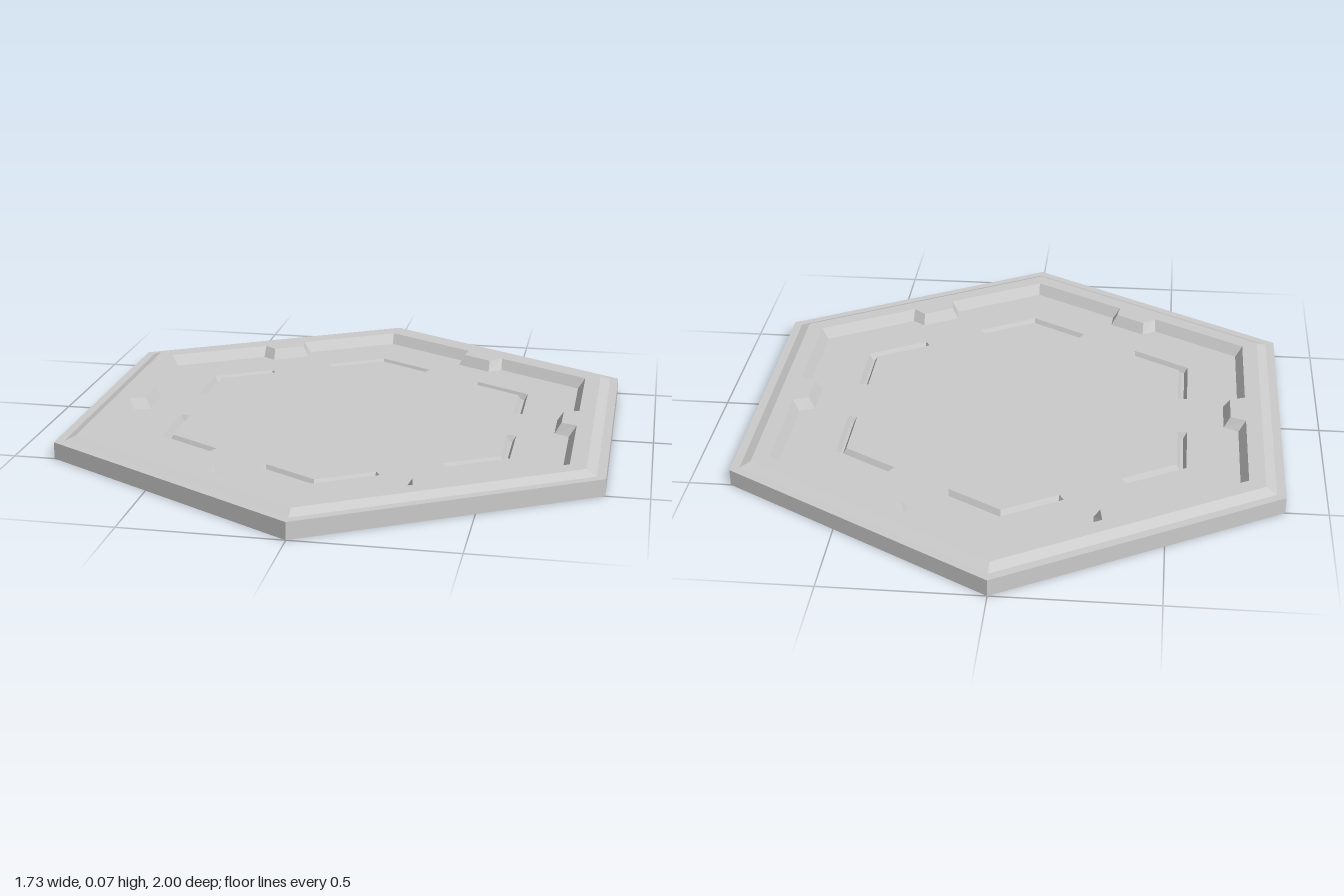
import * as THREE from 'three';

const material = new THREE.MeshStandardMaterial({ color: 0xcccccc, flatShading: true });
const SIXTH = Math.PI / 3;
const TOP = 0.07, RIM = 0.055, FLOOR = 0.035, GROOVE = 0.015;

// Plan points are (x, y) with y pointing to the back; all loops run counter-clockwise from above.
const turn = (points, k) => points.map(([x, y]) =>
  new THREE.Vector2(x, y).rotateAround(new THREE.Vector2(), k * SIXTH));

// Hexagon with corners at front and back, given by its centre-to-edge distance
const hexagon = (a) => [0, 1, 2, 3, 4, 5].flatMap((k) => turn([[a, -a / Math.sqrt(3)]], k));

// Hexagon with a tapered tab pushing inward at the middle of each edge
const tabbedHexagon = (a, tip, baseHalf, tipHalf) => [0, 1, 2, 3, 4, 5].flatMap((k) => turn([
  [a, -a / Math.sqrt(3)], [a, -baseHalf], [tip, -tipHalf], [tip, tipHalf], [a, baseHalf],
], k));

// Bent bar wrapped around one corner
const chevron = (inner, outer, end, k) => [
  ...turn([[inner, end], [outer, end], [outer, outer / Math.sqrt(3)]], k),
  ...turn([[outer, -end], [inner, -end]], k + 1),
  ...turn([[inner, inner / Math.sqrt(3)]], k),
];

// Flat-shaded skin through a series of [loop, height] sections
function skin(name, sections) {
  const positions = [];
  for (let s = 0; s < sections.length - 1; s++) {
    const [a, ya] = sections[s];
    const [b, yb] = sections[s + 1];
    a.forEach((p, i) => {
      const j = (i + 1) % a.length;
      const a0 = [p.x, ya, -p.y], a1 = [a[j].x, ya, -a[j].y];
      const b0 = [b[i].x, yb, -b[i].y], b1 = [b[j].x, yb, -b[j].y];
      positions.push(...a0, ...a1, ...b1, ...a0, ...b1, ...b0);
    });
  }
  const geometry = new THREE.BufferGeometry();
  geometry.setAttribute('position', new THREE.Float32BufferAttribute(positions, 3));
  geometry.computeVertexNormals();
  return named(name, geometry);
}

// Horizontal face with optional holes
function face(name, outline, y, holes = [], down = false) {
  const shape = new THREE.Shape(outline);
  shape.holes = holes.map((h) => new THREE.Path(h));
  const geometry = new THREE.ShapeGeometry(shape);
  geometry.rotateX(down ? Math.PI / 2 : -Math.PI / 2).translate(0, y, 0);
  return named(name, geometry);
}

function named(name, geometry) {
  const mesh = new THREE.Mesh(geometry, material);
  mesh.name = name;
  return mesh;
}

export function createModel() {
  const group = new THREE.Group();
  group.name = 'hexagonalTile';

  // Base, side walls, narrow ledge and chamfer
  const outer = hexagon(0.866);
  const crown = hexagon(0.805);
  group.add(face('underside', outer, 0, [], true));
  group.add(skin('outerRim', [[outer, 0], [outer, RIM], [hexagon(0.838), RIM], [crown, TOP]]));

  // Raised border and sloping recess wall with tabs
  const recessTop = tabbedHexagon(0.753, 0.703, 0.075, 0.056);
  const recessFoot = tabbedHexagon(0.73, 0.682, 0.09, 0.067);
  group.add(face('border', crown, TOP, [recessTop]));
  group.add(skin('recessWall', [[recessTop, TOP], [recessFoot, FLOOR]]));

  // Recess floor with a bent groove inside each corner
  const grooves = [];
  for (let k = 0; k < 6; k++) {
    const mouth = chevron(0.531, 0.562, 0.108, k);
    const bed = chevron(0.542, 0.551, 0.116, k);
    grooves.push(mouth);
    const groove = new THREE.Group();
    groove.name = 'cornerGroove';
    groove.add(skin('grooveWall', [[mouth, FLOOR], [bed, GROOVE]]));
    groove.add(face('grooveBed', bed, GROOVE));
    group.add(groove);
  }
  group.add(face('recessFloor', recessFoot, FLOOR, grooves));
  return group;
}
